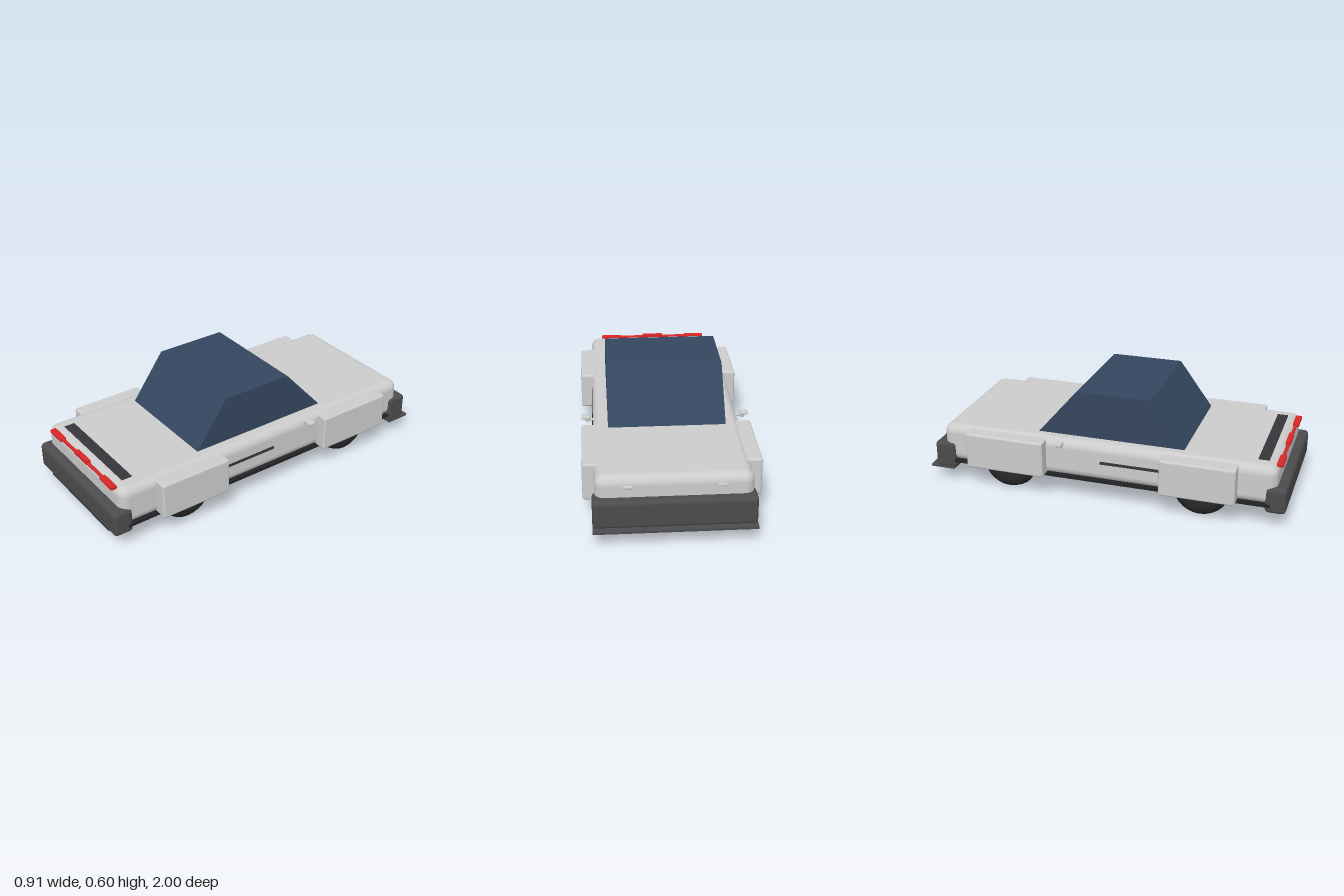
import * as THREE from 'three';
import { RoundedBoxGeometry } from 'three/addons/geometries/RoundedBoxGeometry.js';

const mat = (color) => new THREE.MeshStandardMaterial({ color });
const grey = mat(0xcccccc);
const bumperGrey = mat(0x4c4c4e);
const black = mat(0x232325);
const trim = mat(0x36363a);
const glass = mat(0x34465f);
const red = mat(0xd92626);

export function createModel() {
  const car = new THREE.Group();
  car.name = 'car';

  const add = (name, geometry, material, x = 0, y = 0, z = 0) => {
    const mesh = new THREE.Mesh(geometry, material);
    mesh.name = name;
    mesh.position.set(x, y, z);
    car.add(mesh);
    return mesh;
  };
  // Boxes given by their extents: [min, max] per axis
  const box = (name, material, [x0, x1], [y0, y1], [z0, z1], radius = 0) => {
    const size = [x1 - x0, y1 - y0, z1 - z0];
    const geometry = radius
      ? new RoundedBoxGeometry(...size, 4, radius)
      : new THREE.BoxGeometry(...size);
    return add(name, geometry, material, (x0 + x1) / 2, (y0 + y1) / 2, (z0 + z1) / 2);
  };
  const span = (half) => [-half, half];

  // Body shell and dark floor
  box('body', grey, span(0.392), [0.13, 0.345], [-0.918, 0.947], 0.05);
  box('floor', black, span(0.4), [0.125, 0.142], [-0.9, 0.92]);

  // Cabin: trapezoid side profile extruded across the car
  const profile = new THREE.Shape([
    new THREE.Vector2(-0.445, 0.34), new THREE.Vector2(0.38, 0.34),
    new THREE.Vector2(0.145, 0.6), new THREE.Vector2(-0.255, 0.6),
  ]);
  const cabin = new THREE.ExtrudeGeometry(profile, { depth: 0.624, bevelEnabled: false });
  cabin.translate(0, 0, -0.312).rotateY(Math.PI / 2);
  add('cabin', cabin, glass);

  // Bumpers, splitter and lower lip
  box('tailBumper', bumperGrey, span(0.4), [0.09, 0.236], [0.888, 1], 0.025);
  box('lowerLip', trim, span(0.302), [0.072, 0.095], [0.945, 0.985]);
  box('noseBumper', bumperGrey, span(0.405), [0.09, 0.238], [-0.968, -0.848], 0.02);
  box('splitter', bumperGrey, span(0.405), [0.083, 0.095], [-1, -0.86]);

  // Tail light bar with thicker ends and a raised centre
  const bar = new THREE.CylinderGeometry(0.009, 0.009, 0.64, 12).rotateZ(Math.PI / 2);
  add('tailLightBar', bar, red, 0, 0.336, 0.946);
  box('tailLightCentre', red, span(0.063), [0.332, 0.351], [0.932, 0.958]);

  // Slot in the rear deck
  box('deckVent', trim, span(0.301), [0.335, 0.349], [0.83, 0.888]);

  for (const side of [-1, 1]) {
    const pair = (a, b) => (side > 0 ? [a, b] : [-b, -a]);

    box('tailLightEnd', red, pair(0.205, 0.325), [0.325, 0.346], [0.929, 0.964], 0.006);

    // Flared arches
    box('rearArch', grey, pair(0.36, 0.457), [0.133, 0.335], [0.338, 0.745], 0.012);
    box('frontArch', grey, pair(0.36, 0.452), [0.133, 0.335], [-0.755, -0.308], 0.012);

    // Side vent
    box('sideVent', trim, pair(0.38, 0.396), [0.235, 0.25], [0, 0.345]);

    // Door mirror on a short stem
    const stem = new THREE.CylinderGeometry(0.007, 0.007, 0.06, 10).rotateZ(Math.PI / 2);
    add('mirrorStem', stem, grey, side * 0.405, 0.32, -0.218);
    box('mirror', grey, pair(0.405, 0.453), [0.328, 0.345], [-0.24, -0.198], 0.006);
    box('mirrorHousing', grey, pair(0.41, 0.43), [0.312, 0.332], [-0.235, -0.203], 0.006);

    // Small marker cone at the tail and lamp at the nose
    add('markerCone', new THREE.ConeGeometry(0.009, 0.032, 12), grey, side * 0.352, 0.29, 0.937);
    box('noseLamp', grey, pair(0.205, 0.255), [0.282, 0.3], [-0.926, -0.908], 0.005);

    // Wheels: ring tyre with a separate hub disc
    for (const [end, z] of [['front', -0.54], ['rear', 0.545]]) {
      const tyre = new THREE.TorusGeometry(0.119, 0.036, 8, 28).rotateY(Math.PI / 2);
      add(end + 'Tyre', tyre, black, side * 0.344, 0.159, z);
      const hub = new THREE.CylinderGeometry(0.066, 0.066, 0.04, 24).rotateZ(Math.PI / 2);
      add(end + 'Hub', hub, grey, side * 0.344, 0.159, z);
    }
  }
  return car;
}
